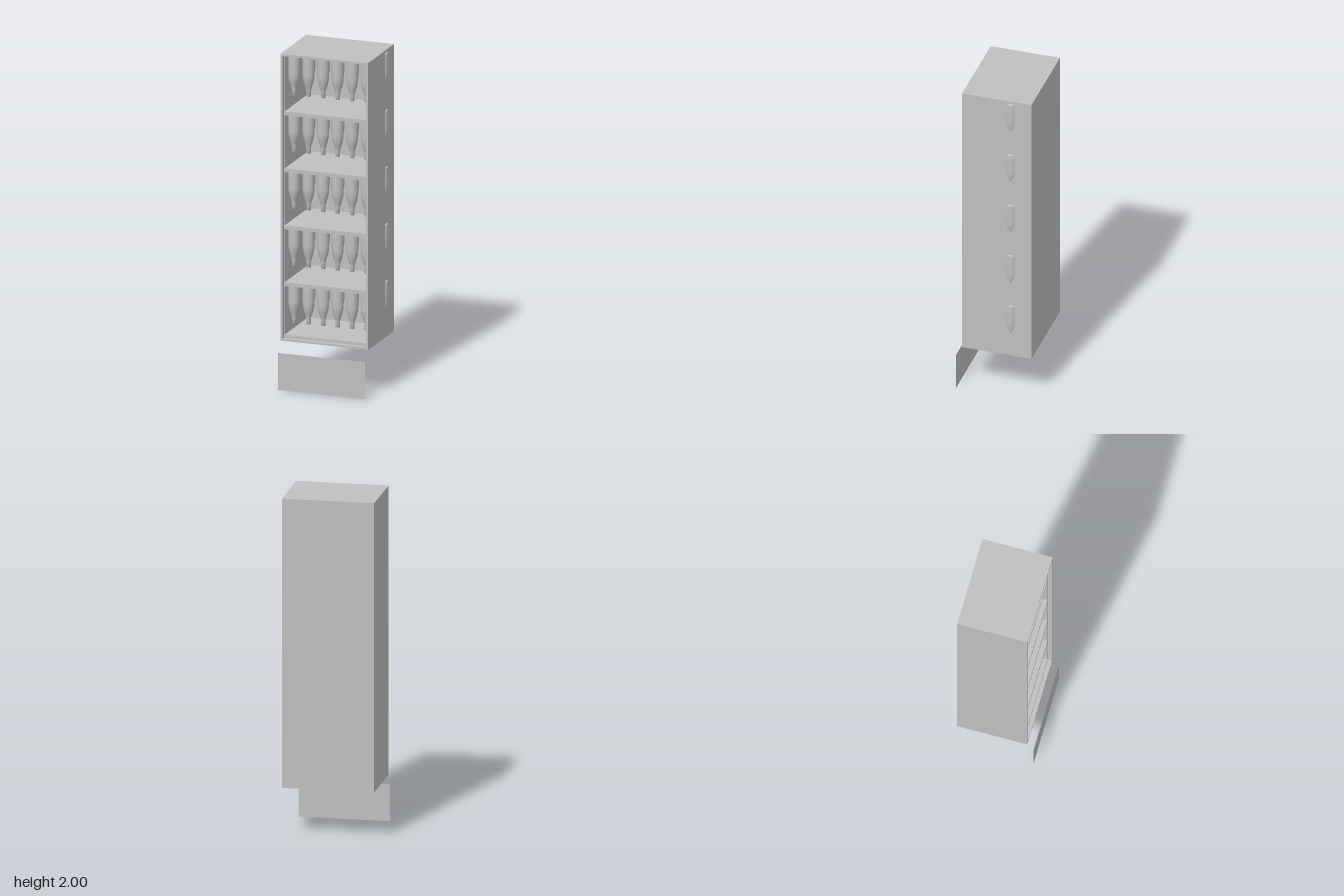
import * as THREE from 'three';

export function createModel() {
  const model = new THREE.Group();
  const grey = new THREE.MeshStandardMaterial({ color: 0xc0c0c0 });
  grey.name = 'plain grey';
  const greySheet = grey.clone();
  greySheet.name = 'plain grey sheet';
  greySheet.side = THREE.DoubleSide;

  // Box given by its lower and upper corners
  const box = (name, x0, x1, y0, y1, z0, z1, parent = model) => {
    const mesh = new THREE.Mesh(new THREE.BoxGeometry(x1 - x0, y1 - y0, z1 - z0), grey);
    mesh.name = name;
    mesh.position.set((x0 + x1) / 2, (y0 + y1) / 2, (z0 + z1) / 2);
    parent.add(mesh);
    return mesh;
  };

  // Cabinet shell, open at the front
  const L = -0.275, R = 0.265, B = 0.285, T = 2, back = -0.228, front = 0.19, wall = 0.013;
  const cabinet = new THREE.Group();
  cabinet.name = 'cabinet';
  model.add(cabinet);
  box('rightWall', L, L + wall, B, T, back, front, cabinet);
  box('leftWall', R - wall, R, B, T, back, front, cabinet);
  box('roof', L + wall, R - wall, T - wall, T, back, front, cabinet);
  box('floor', L + wall, R - wall, B, B + wall, back, front, cabinet);
  box('backWall', L + wall, R - wall, B + wall, T - wall, back, back + wall, cabinet);

  // Inner lining, set back from the front edge
  const inner = 0.165;
  box('rightLining', L + wall, L + wall + 0.004, B + wall, T - wall, back + wall, inner, cabinet);
  box('leftLining', R - wall - 0.005, R - wall, B + wall, T - wall, back + wall, inner, cabinet);
  box('baseBoard', L + wall, R - wall, B + wall, 0.316, back + wall, inner, cabinet);

  // Shelves
  const pitch = 0.3405;
  for (let i = 0; i < 4; i++) {
    const top = 1.65 - i * pitch;
    box('shelf', L + wall, R - wall, top - 0.022, top, back + wall, inner, cabinet);
  }

  // Bottle hanging neck down; its base is at y = 0
  const bottleGeometry = (length) => {
    const profile = [
      [0, -length], [0.013, -length], [0.0135, -length + 0.035], [0.019, -0.2],
      [0.026, -0.178], [0.032, -0.152], [0.0345, -0.125], [0.0345, -0.012],
      [0.031, -0.002], [0, 0],
    ].map(([r, y]) => new THREE.Vector2(r, y));
    return new THREE.LatheGeometry(profile, 20);
  };

  // Two rows on each level, the rear row stepped sideways
  const rows = [
    { name: 'frontBottle', x: -0.232, z: 0.08, geometry: bottleGeometry(0.255) },
    { name: 'rearBottle', x: -0.206, z: -0.102, geometry: bottleGeometry(0.235) },
  ];
  for (let level = 0; level < 5; level++) {
    for (const row of rows) {
      for (let i = 0; i < 6; i++) {
        const bottle = new THREE.Mesh(row.geometry, grey);
        bottle.name = row.name;
        bottle.position.set(row.x + i * 0.0893, 1.985 - level * pitch, row.z);
        model.add(bottle);
      }
    }
  }

  // Thin sign panel low down in front of the cabinet
  const panel = new THREE.Mesh(new THREE.PlaneGeometry(0.536, 0.222), greySheet);
  panel.name = 'frontPanel';
  panel.position.set(-0.007, 0.111, 0.228);
  model.add(panel);

  return model;
}
